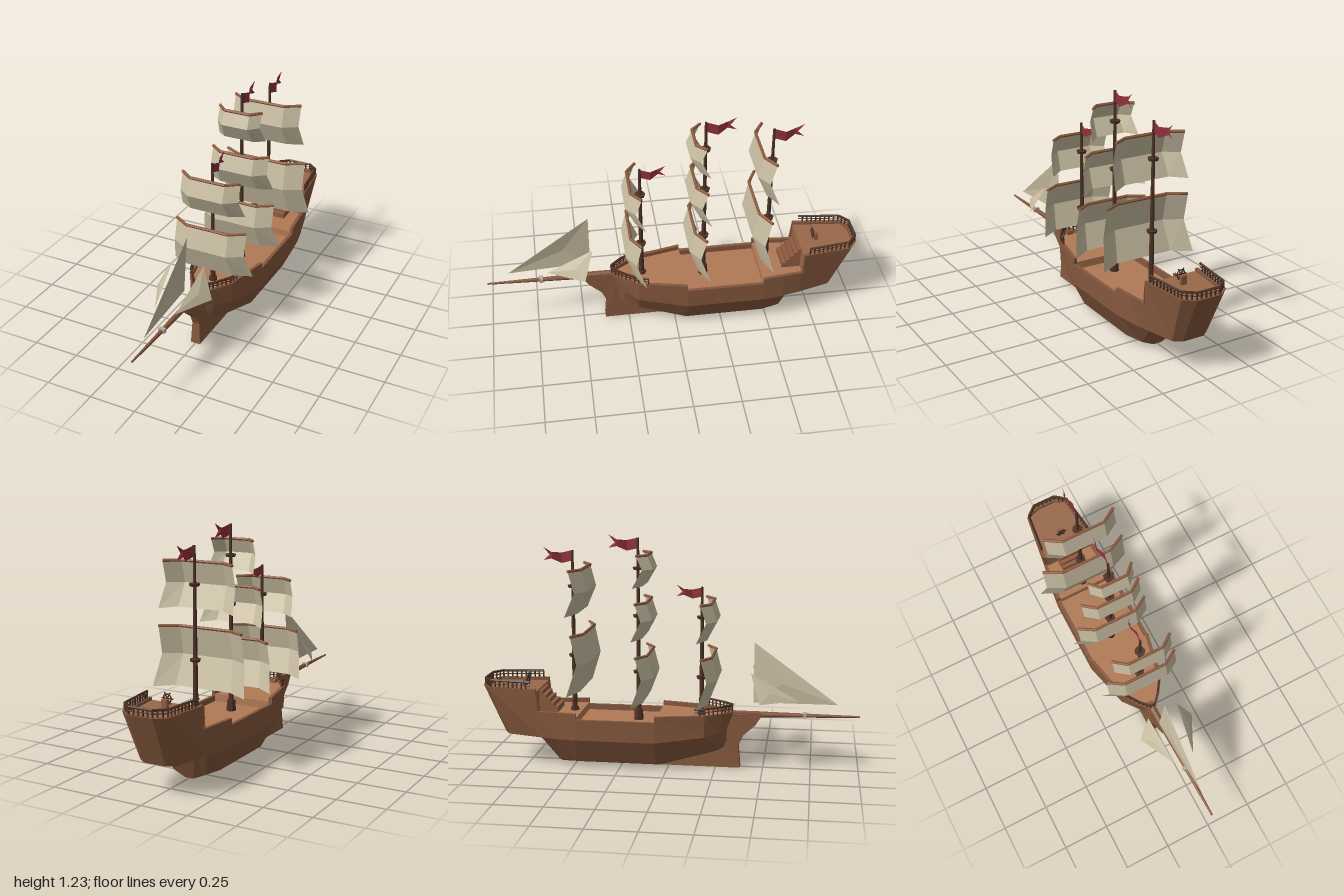
import * as THREE from 'three';

const paint = (color) => new THREE.MeshStandardMaterial({ color, flatShading: true, side: THREE.DoubleSide });
const HULL = paint(0x85583d), DECK = paint(0xb07a55), POOP = paint(0x99694a), MAST = paint(0x4d3226),
  YARD = paint(0x8f5c40), SAIL = paint(0xcabfa3), FLAG = paint(0x93303a), PALE = paint(0xb5ad9a);

export function createModel() {
  const ship = new THREE.Group();
  ship.name = 'sailingShip';

  const add = (name, geometry, material, parent = ship, x = 0, y = 0, z = 0) => {
    const mesh = new THREE.Mesh(geometry, material);
    mesh.name = name;
    mesh.position.set(x, y, z);
    parent.add(mesh);
    return mesh;
  };
  const group = (name) => {
    const g = new THREE.Group();
    g.name = name;
    ship.add(g);
    return g;
  };
  // Skin over rows of [x, y, z] points
  const loft = (rows) => {
    const n = rows[0].length, index = [];
    for (let s = 0; s < rows.length - 1; s++)
      for (let j = 0; j < n - 1; j++) {
        const a = s * n + j, d = a + n;
        index.push(a, a + 1, d + 1, a, d + 1, d);
      }
    const g = new THREE.BufferGeometry();
    g.setAttribute('position', new THREE.Float32BufferAttribute(rows.flat(2), 3));
    g.setIndex(index);
    g.computeVertexNormals();
    return g;
  };
  // Round bar between two points
  const bar = (name, a, b, r0, r1, material, parent, sides = 6) => {
    const p = new THREE.Vector3(...a), q = new THREE.Vector3(...b);
    const mesh = add(name, new THREE.CylinderGeometry(r1, r0, p.distanceTo(q), sides), material, parent);
    mesh.position.copy(p).lerp(q, 0.5);
    mesh.quaternion.setFromUnitVectors(new THREE.Vector3(0, 1, 0), q.sub(p).normalize());
  };

  // Hull sections from stern to bow; two levels at one station make a step in rail and deck
  const poop = [0.42, 0.405], upper = [0.302, 0.28], waist = [0.27, 0.24];
  const sections = [];
  const station = (levels, topX, topZ, lowZ, [bilgeX, bilgeY], [chineX, chineY], keelY) => {
    for (const [railY, deckY] of levels) {
      const x = Math.max(topX - 0.018, 0), z = Math.max(topZ, -0.975);
      sections.push([[chineX * 0.27, keelY, lowZ], [chineX, chineY, lowZ], [bilgeX, bilgeY, lowZ],
        [topX, railY, topZ], [x, railY, z], [x, deckY, z]]);
    }
  };
  station([poop], 0.07, -0.995, -0.88, [0.06, 0.16], [0.03, 0.16], 0.16);
  station([poop], 0.127, -0.95, -0.85, [0.10, 0.16], [0.05, 0.16], 0.16);
  station([poop, upper], 0.155, -0.69, -0.66, [0.15, 0.16], [0.08, 0.16], 0.16);
  station([upper], 0.167, -0.58, -0.58, [0.167, 0.16], [0.09, 0.03], 0);
  station([upper, waist], 0.18, -0.47, -0.48, [0.18, 0.16], [0.117, 0.03], 0);
  station([waist, upper], 0.18, -0.055, -0.055, [0.18, 0.16], [0.117, 0.03], 0);
  station([upper], 0.125, 0.20, 0.20, [0.12, 0.185], [0.07, 0.09], 0.07);
  station([upper], 0.065, 0.29, 0.275, [0.06, 0.20], [0.035, 0.11], 0.09);
  station([upper], 0.015, 0.345, 0.315, [0.015, 0.21], [0.012, 0.13], 0.11);

  const flip = ([x, y, z]) => [-x, y, z];
  const rows = sections.map((s) => [...s.map(flip).reverse(), ...s]);
  const sternSeam = rows[0].map(([, y, z]) => [0, y, z]);
  add('hull', loft([sternSeam, ...rows]), HULL);
  const deckRow = (s) => [s[5], flip(s[5])];
  add('mainDeck', loft(sections.slice(3).map(deckRow)), DECK);
  add('poopDeck', loft(sections.slice(0, 4).map(deckRow)), POOP);

  // Stem and forward keel plate, drawn in (z, y), thicker toward the foot
  const stemShape = new THREE.Shape([[0.38, 0], [0.37, 0.12], [0.395, 0.175], [0.46, 0.235], [0.488, 0.28],
    [0.488, 0.302], [0.30, 0.30], [0.27, 0.11], [-0.06, 0.005], [-0.06, 0]].map((p) => new THREE.Vector2(...p)));
  const stem = new THREE.ExtrudeGeometry(stemShape, { depth: 0.044, bevelEnabled: false });
  stem.translate(0, 0, -0.022).rotateY(-Math.PI / 2);
  const sp = stem.attributes.position;
  for (let i = 0; i < sp.count; i++) sp.setX(i, sp.getX(i) * (1.2 - Math.min(sp.getY(i), 0.2) * 2));
  stem.computeVertexNormals();
  add('stem', stem, HULL);

  // Bowsprit with its band
  bar('bowsprit', [0, 0.288, 0.32], [0, 0.295, 1], 0.02, 0.005, HULL, ship, 8);
  add('bowspritBand', new THREE.BoxGeometry(0.034, 0.024, 0.02), PALE, ship, 0, 0.294, 0.715);

  // Railings
  const railing = (name, path, y, h) => {
    const g = group(name);
    const full = [...path, ...path.map(([x, z]) => [-x, z]).reverse()];
    for (let i = 0; i < full.length - 1; i++) {
      const [x0, z0] = full[i], [x1, z1] = full[i + 1];
      bar('topRail', [x0, y + h, z0], [x1, y + h, z1], 0.007, 0.007, MAST, g, 4);
      bar('midRail', [x0, y + h / 2, z0], [x1, y + h / 2, z1], 0.003, 0.003, MAST, g, 4);
      const n = Math.max(1, Math.round(Math.hypot(x1 - x0, z1 - z0) / 0.025));
      for (let k = 0; k < n; k++)
        add('baluster', new THREE.BoxGeometry(0.007, h, 0.007), MAST, g,
          x0 + (x1 - x0) * k / n, y + h / 2, z0 + (z1 - z0) * k / n);
    }
  };
  railing('poopRailing', [[0.144, -0.72], [0.118, -0.94], [0.064, -0.985]], 0.42, 0.036);
  railing('bowRailing', [[0.128, 0.15], [0.116, 0.20], [0.058, 0.285], [0.012, 0.335]], 0.30, 0.036);

  // Stairs up to the poop
  const stairs = group('stairs');
  for (let i = 0; i < 5; i++) {
    const top = 0.31 + i * 0.021, depth = 0.105 - i * 0.021;
    add('step', new THREE.BoxGeometry(0.14, top - 0.27, depth), YARD, stairs, 0, (top + 0.27) / 2, -0.695 + depth / 2);
  }

  // Steering wheel on its stand
  const helm = group('helm');
  add('stand', new THREE.BoxGeometry(0.03, 0.05, 0.018), YARD, helm, 0, 0.425, -0.785);
  add('wheelRim', new THREE.TorusGeometry(0.022, 0.004, 4, 10), MAST, helm, 0, 0.45, -0.765);
  for (let i = 0; i < 3; i++)
    add('spoke', new THREE.BoxGeometry(0.064, 0.005, 0.005), MAST, helm, 0, 0.45, -0.765).rotation.z = i * Math.PI / 3;

  // Square sail: top, fold and bottom rows swept back at the sides, under a bent yard
  const squareSail = (parent, z, [yTop, yFold, yBottom, wTop, wBottom, bulge]) => {
    const row = (y, w, dz, drop) => [-1, -0.6, 0.6, 1].map((t) => {
      const side = Math.abs(t) === 1;
      return [t * w, y - (side ? drop : 0), z + dz - (side ? 0.05 : 0)];
    });
    const top = row(yTop, wTop, bulge - 0.03, 0);
    add('sail', loft([top, row(yFold, wTop, bulge, 0), row(yBottom, wBottom, bulge - 0.05, 0.008)]), SAIL, parent);
    for (let i = 0; i < 3; i++) bar('yard', top[i], top[i + 1], 0.008, 0.008, YARD, parent);
  };
  // Swallow-tailed pennant waving aft of the mast
  const pennant = (parent, z, y, s) => {
    const columns = [[0, 0.025, -0.03, 0], [0.06, 0.01, -0.045, 0.012], [0.11, 0.015, -0.02, -0.008]];
    const cloth = columns.map(([d, hi, lo, x]) =>
      [hi, (hi + lo) / 2, lo].map((h) => [x * s, y + h * s, z - d * s]));
    cloth.push([[0, y + 0.04 * s, z - 0.155 * s], [0, y, z - 0.122 * s], [0, y - 0.03 * s, z - 0.155 * s]]);
    add('pennant', loft(cloth), FLAG, parent);
  };
  // Mast with a foot, collars, sails and pennant
  const mast = (name, z, top, collars, pennantScale, sails) => {
    const g = group(name);
    bar('pole', [0, 0.23, z], [0, top, z], 0.014, 0.007, MAST, g, 8);
    add('mastFoot', new THREE.CylinderGeometry(0.022, 0.026, 0.06, 8), MAST, g, 0, 0.265, z);
    for (const y of collars) add('collar', new THREE.CylinderGeometry(0.028, 0.024, 0.014, 8), MAST, g, 0, y, z);
    for (const sail of sails) squareSail(g, z, sail);
    pennant(g, z, top - 0.025, pennantScale);
  };
  const lowerSail = [0.612, 0.495, 0.365, 0.2, 0.228, 0.095];
  const middleSail = [0.885, 0.795, 0.70, 0.163, 0.18, 0.088];
  mast('foreMast', 0.172, 0.96, [0.48, 0.80], 0.86, [lowerSail, middleSail]);
  mast('mainMast', -0.165, 1.21, [0.50, 0.80, 1.05], 1,
    [lowerSail, middleSail, [1.127, 1.055, 0.97, 0.12, 0.135, 0.09]]);
  mast('mizzenMast', -0.513, 1.14, [0.58, 0.95], 1,
    [[0.722, 0.575, 0.42, 0.235, 0.262, 0.115], [1.052, 0.94, 0.825, 0.195, 0.21, 0.10]]);

  // Triangular head sails with a bulged middle
  const headSail = (name, a, b, c, bulge) => {
    const m = a.map((v, i) => (v + b[i] + c[i]) / 3);
    m[0] += bulge;
    add(name, loft([[a, b, c, a], [m, m, m, m]]), SAIL);
  };
  headSail('jib', [0, 0.675, 0.447], [-0.022, 0.36, 0.447], [0, 0.355, 0.885], -0.01);
  for (const s of [-1, 1])
    headSail(s < 0 ? 'rightStaysail' : 'leftStaysail', [s * 0.085, 0.53, 0.435], [s * 0.155, 0.38, 0.485],
      [s * 0.057, 0.383, 0.68], s * 0.008);

  return ship;
}
